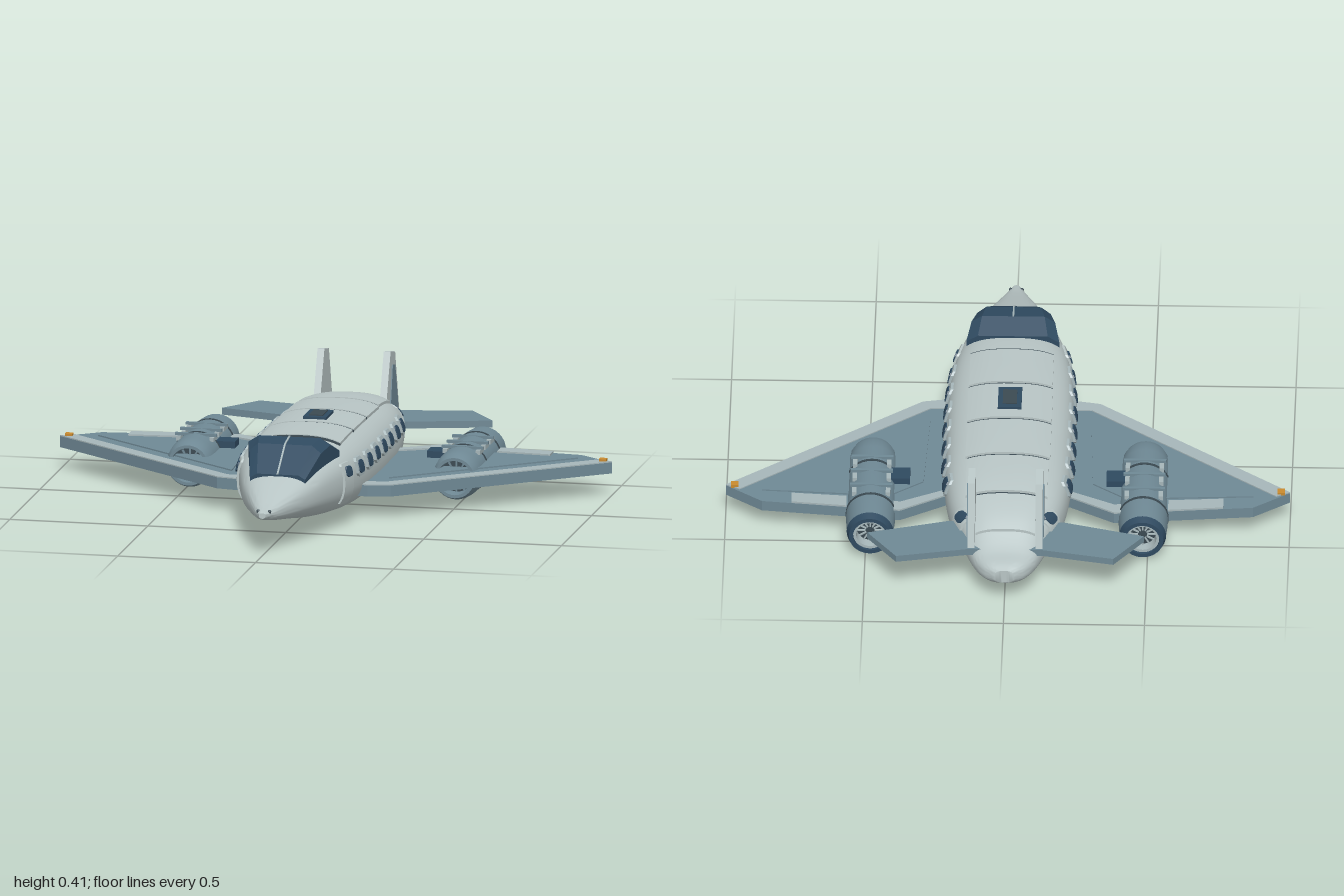
import * as THREE from 'three';
import { toCreasedNormals } from 'three/addons/utils/BufferGeometryUtils.js';

const paint = (name, color) => {
  const m = new THREE.MeshStandardMaterial({ color });
  m.name = name;
  return m;
};

// Hull stations from nose to tail: z, half width, bottom y, top y
const STATIONS = [
  [0.89, 0.012, 0.135, 0.155], [0.82, 0.045, 0.115, 0.172], [0.63, 0.125, 0.08, 0.235],
  [0.5, 0.165, 0.055, 0.272], [0.36, 0.2, 0.035, 0.293], [0.2, 0.22, 0.018, 0.297],
  [0, 0.227, 0.006, 0.297], [-0.2, 0.227, 0, 0.295], [-0.4, 0.222, 0.004, 0.288],
  [-0.55, 0.2, 0.014, 0.272], [-0.68, 0.155, 0.034, 0.235], [-0.8, 0.112, 0.065, 0.175],
  [-0.86, 0.075, 0.08, 0.162], [-0.89, 0.035, 0.1, 0.15],
];
const POWER = 2.6;

// Smooth hull section at any z
function hullAt(z) {
  const S = STATIONS, last = S.length - 1;
  let i = 0;
  while (i < last - 1 && z < S[i + 1][0]) i++;
  const h = S[i + 1][0] - S[i][0], u = (z - S[i][0]) / h;
  const slope = (k, c) => {
    const a = S[Math.max(k - 1, 0)], b = S[Math.min(k + 1, last)];
    return (b[c] - a[c]) / (b[0] - a[0]);
  };
  const [w, b, t] = [1, 2, 3].map((c) =>
    S[i][c] * (2 * u ** 3 - 3 * u ** 2 + 1) + S[i + 1][c] * (3 * u ** 2 - 2 * u ** 3)
    + h * (slope(i, c) * (u ** 3 - 2 * u ** 2 + u) + slope(i + 1, c) * (u ** 3 - u ** 2)));
  return { w, yc: (b + t) / 2, hh: (t - b) / 2 };
}
const bulge = (q) => Math.max(0, 1 - Math.abs(q) ** POWER) ** (1 / POWER);
const hullX = (z, y) => { const s = hullAt(z); return s.w * bulge((y - s.yc) / s.hh); };
const hullTop = (z, x) => { const s = hullAt(z); return s.yc + s.hh * bulge(x / s.w); };

// Skin over rings of [x, y, z], counter-clockwise from the front, ordered front to back
function loft(rings, crease = 0.6) {
  const n = rings[0].length, idx = [], end = (rings.length - 1) * n;
  for (let j = 0; j < rings.length - 1; j++) {
    for (let i = 0; i < n; i++) {
      const a = j * n + i, b = j * n + (i + 1) % n;
      idx.push(a, a + n, b, b, a + n, b + n);
    }
  }
  for (let i = 0; i < n / 2 - 1; i++) {
    const p = i + 1, q = n - 2 - i, r = n - 1 - i;
    idx.push(i, p, r, p, q, r, end + i, end + r, end + p, end + p, end + r, end + q);
  }
  const g = new THREE.BufferGeometry();
  g.setAttribute('position', new THREE.Float32BufferAttribute(rings.flat(2), 3));
  g.setIndex(idx);
  return toCreasedNormals(g, crease);
}
const range = (a, b, n) => Array.from({ length: n + 1 }, (_, i) => a + (b - a) * i / n);

// Curved plate lying on the roof
function roofPlate(z0, z1, hw, lift) {
  const xs = range(hw, -hw, 12);
  return loft(range(z1, z0, 6).map((z) => [
    ...xs.map((x) => [x, hullTop(z, x) + lift, z]),
    ...[...xs].reverse().map((x) => [x, hullTop(z, x) - 0.006, z]),
  ]));
}

// Curved plate lying on the hull side, with cut corners
function sidePlate(s, z0, z1, y0, y1, lift, cut) {
  const rows = [[z1, cut], [z1 - cut, 0], [z0 + cut, 0], [z0, cut]];
  return loft(rows.map(([z, c]) => {
    const ys = range(y0 + c, y1 - c, 6);
    const ring = [
      ...ys.map((y) => [s * (hullX(z, y) + lift), y, z]),
      ...[...ys].reverse().map((y) => [s * (hullX(z, y) - 0.004), y, z]),
    ];
    return s > 0 ? ring : ring.reverse();
  }));
}

const polygon = (pts) => new THREE.Shape(pts.map(([a, b]) => new THREE.Vector2(a, b)));
const extrude = (pts, depth) => new THREE.ExtrudeGeometry(polygon(pts), { depth, bevelEnabled: false });
// Flat slab from an [x, z] outline
const slab = (s, pts, y, h) =>
  extrude(pts.map(([x, z]) => [s * x, -z]), h).rotateX(-Math.PI / 2).translate(0, y, 0);
// Upright slab from a [z, y] outline
const upright = (pts, x, d) =>
  extrude(pts.map(([z, y]) => [-z, y]), d).rotateY(Math.PI / 2).translate(x, 0, 0);
// Turned part along z from [radius, z] points, rear to front
const turned = (pts, seg = 32) => toCreasedNormals(
  new THREE.LatheGeometry(pts.map(([r, z]) => new THREE.Vector2(r, z)), seg).rotateX(Math.PI / 2), 0.6);
const box = (w, h, d, x, y, z) => new THREE.BoxGeometry(w, h, d).translate(x, y, z);

export function createModel() {
  const hull = paint('hull grey', 0xb8c5c5), wing = paint('wing blue grey', 0x6f8995);
  const trim = paint('light trim', 0xa6b6b9), navy = paint('navy glass', 0x2f4a60);
  const dark = paint('dark grey', 0x3b4a52), amber = paint('amber lamp', 0xc98a2e);
  const model = new THREE.Group();
  const add = (name, geo, mat, parent = model) => {
    const m = new THREE.Mesh(geo, mat);
    m.name = name;
    parent.add(m);
    return m;
  };

  // Fuselage
  const zs = STATIONS.slice(0, -1).flatMap((a, i) => range(a[0], STATIONS[i + 1][0], 4).slice(0, 4));
  add('fuselage', loft([...zs, -0.89].map((z) => {
    const { w, yc, hh } = hullAt(z);
    return range(0, 47, 47).map((k) => {
      const a = k / 48 * Math.PI * 2, c = Math.cos(a), d = Math.sin(a);
      const e = 2 / POWER;
      return [w * Math.sign(c) * Math.abs(c) ** e, yc + hh * Math.sign(d) * Math.abs(d) ** e, z];
    });
  }), 0.9), hull);

  // Canopy: z, half width, sill y, shoulder y, crown y
  add('canopy', loft([
    [0.635, 0.1, 0.2, 0.225, 0.24], [0.51, 0.13, 0.23, 0.295, 0.322],
    [0.435, 0.148, 0.24, 0.31, 0.334], [0.36, 0.165, 0.24, 0.275, 0.3],
  ].map(([z, w, a, b, c]) => [
    [w, a, z], [w, b, z], [w * 0.75, c, z], [-w * 0.75, c, z], [-w, b, z], [-w, a, z],
  ]), 0.2), navy);
  add('canopyStrip', upright(
    [[0.635, 0.238], [0.635, 0.244], [0.51, 0.326], [0.435, 0.338], [0.435, 0.33], [0.51, 0.318]],
    -0.003, 0.006), trim);

  // Roof panels, joints and hatch
  const panels = [[0.07, 0.27, 0.148], [-0.15, 0.055, 0.15], [-0.365, -0.165, 0.15],
    [-0.57, -0.38, 0.145], [-0.73, -0.585, 0.105]];
  for (const [z0, z1, hw] of panels) {
    add('roofPanel', roofPlate(z0, z1, hw, 0.01), hull);
    add('roofJoint', roofPlate(z1, z1 + 0.008, hw, 0.007), dark);
  }
  add('roofHatch', box(0.084, 0.018, 0.126, 0, 0.306, -0.042), navy);
  add('hatchPanel', box(0.05, 0.004, 0.085, 0, 0.317, -0.042), dark);

  for (const s of [1, -1]) {
    // Cabin windows and doors
    for (let i = 0; i < 7; i++) {
      const z = 0.255 - i * 0.1133;
      add('windowFrame', sidePlate(s, z - 0.034, z + 0.034, 0.166, 0.232, 0.009, 0.012), trim);
      add('windowGlass', sidePlate(s, z - 0.024, z + 0.024, 0.177, 0.221, 0.013, 0.008), navy);
    }
    for (const [z, w, y0, y1] of [[0.373, 0.038, 0.085, 0.235], [-0.635, 0.034, 0.11, 0.228]]) {
      add('door', sidePlate(s, z - w, z + w, y0, y1, 0.008, 0.008), hull);
      add('doorWindow', sidePlate(s, z - 0.021, z + 0.021, 0.187, 0.222, 0.013, 0.007), navy);
    }
    add('noseSensor', new THREE.SphereGeometry(0.007, 10, 8).translate(s * 0.02, 0.155, 0.862), dark);

    // Delta wing with raised panel, leading edge, flaps and tip lamp
    add('wing', slab(s, [[0.15, 0.215], [0.235, 0.215], [0.315, 0.2], [1, -0.335], [0.87, -0.43],
      [0.38, -0.48], [0.22, -0.385], [0.15, -0.385]], 0.08, 0.04), wing);
    add('wingPanel', slab(s, [[0.285, 0.09], [0.3, -0.3], [0.42, -0.39], [0.87, -0.365]], 0.12, 0.005), wing);
    add('leadingEdge', slab(s, [[0.2, 0.215], [0.235, 0.215], [0.315, 0.2], [1, -0.335],
      [0.95, -0.36], [0.285, 0.16], [0.2, 0.16]], 0.12, 0.004), trim);
    add('outerFlap', slab(s, [[0.57, -0.4], [0.57, -0.46], [0.765, -0.44], [0.765, -0.385]], 0.12, 0.007), trim);
    add('innerFlap', slab(s, [[0.22, -0.35], [0.22, -0.385], [0.38, -0.48], [0.43, -0.475],
      [0.43, -0.42], [0.38, -0.43]], 0.12, 0.006), trim);
    add('tipLamp', box(0.026, 0.012, 0.026, s * 0.968, 0.126, -0.338), amber);

    // Tail planes and fins
    add('tailPlane', slab(s, [[0.08, -0.61], [0.2, -0.61], [0.49, -0.69], [0.385, -0.835],
      [0.13, -0.785], [0.08, -0.785]], 0.145, 0.025), wing);
    add('tailFin', upright([[-0.565, 0.15], [-0.57, 0.255], [-0.635, 0.415], [-0.71, 0.4],
      [-0.785, 0.15]], s * 0.12 - 0.0125, 0.025), hull);
    add('finPanel', upright([[-0.615, 0.19], [-0.655, 0.365], [-0.695, 0.355], [-0.75, 0.19]],
      s * 0.1345 - 0.002, 0.004), wing);

    // Engine
    const engine = new THREE.Group();
    engine.name = 'engine';
    engine.position.set(s * 0.483, 0.092, 0);
    model.add(engine);
    add('nacelle', turned([[0.082, -0.572], [0.087, -0.5], [0.087, -0.16], [0.083, -0.115],
      [0.073, -0.088], [0.062, -0.088], [0.057, -0.135]]), wing, engine);
    add('nozzle', turned([[0.056, -0.545], [0.06, -0.6], [0.074, -0.6], [0.083, -0.572]]), navy, engine);
    add('exhaustLiner', turned([[0.046, -0.555], [0.049, -0.59], [0.061, -0.59]]), trim, engine);
    add('turbineFace', turned([[0, -0.56], [0.05, -0.55]]), dark, engine);
    add('fanFace', turned([[0.06, -0.13], [0, -0.13]]), dark, engine);
    add('fanHub', turned([[0.02, -0.13], [0, -0.095]], 16), trim, engine);
    for (let i = 0; i < 12; i++) {
      const blade = box(0.006, 0.036, 0.006, 0, 0.038, 0).rotateZ(i * Math.PI / 6);
      add('fanBlade', blade.clone().translate(0, 0, -0.125), wing, engine);
      add('exhaustVane', blade.scale(0.8, 0.8, 1).translate(0, 0, -0.562), trim, engine);
    }
    for (const z of [-0.25, -0.46]) {
      add('nacelleBand', turned([[0.086, z - 0.005], [0.0895, z - 0.005], [0.0895, z + 0.005],
        [0.086, z + 0.005]]), dark, engine);
    }
    // Service rails and rungs over the nacelle
    for (const x of [-0.06, 0.06]) {
      for (const z of [-0.41, -0.32, -0.235]) {
        add('railPad', box(0.016, 0.016, 0.06, x, 0.07, z), trim, engine);
      }
    }
    for (const z of [-0.4, -0.31, -0.225]) {
      add('rung', box(0.15, 0.01, 0.012, 0, 0.083, z), wing, engine);
    }
    add('enginePylon', box(0.07, 0.03, 0.07, -s * 0.1, 0.042, -0.285), navy, engine);
  }
  return model;
}
